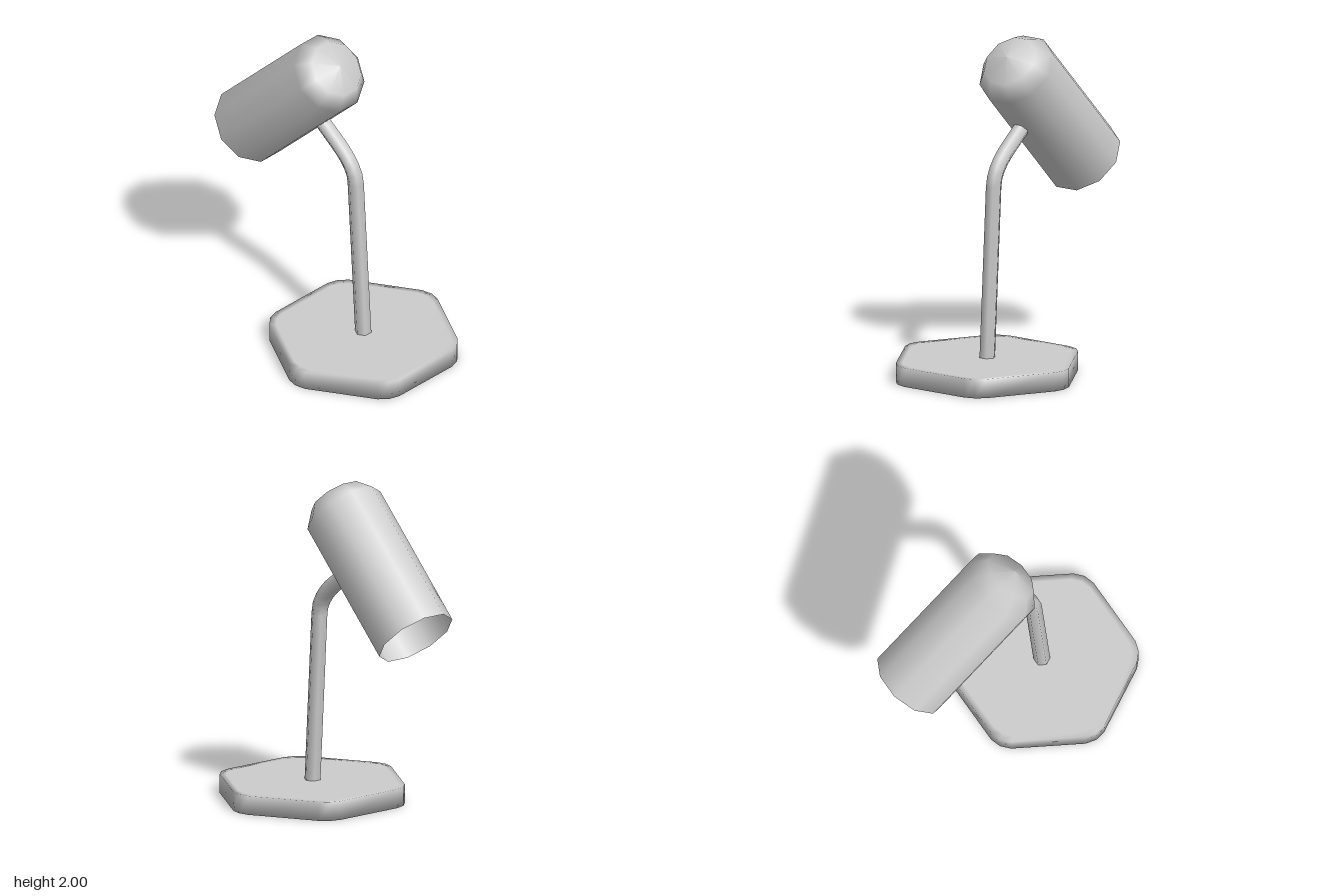
import * as THREE from 'three';

const material = new THREE.MeshStandardMaterial({ color: 0xcccccc, side: THREE.DoubleSide });

function addMesh(group, name, geometry) {
  const mesh = new THREE.Mesh(geometry, material);
  mesh.name = name;
  group.add(mesh);
  return mesh;
}

// Hexagon outline with three points per softened corner
function hexOutline() {
  const points = [];
  for (let i = 0; i < 6; i++) {
    for (const [offset, radius] of [[-6.8, 0.564], [0, 0.575], [6.8, 0.564]]) {
      const a = THREE.MathUtils.degToRad(30 + i * 60 + offset);
      points.push([Math.cos(a) * radius, Math.sin(a) * radius]);
    }
  }
  return points;
}

// Rings of the outline, closed by a centre point below and above
function baseGeometry() {
  const outline = hexOutline();
  const n = outline.length;
  const height = 0.115;
  const rings = [[1, 0], [1, height], [0.93, height]];
  const positions = [];
  const index = [];
  for (const [scale, y] of rings) {
    for (const [x, z] of outline) positions.push(x * scale, y, z * scale);
  }
  const bottom = n * rings.length;
  const top = bottom + 1;
  positions.push(0, 0, 0, 0, height, 0);
  for (let i = 0; i < n; i++) {
    const j = (i + 1) % n;
    for (let r = 0; r < rings.length - 1; r++) {
      const a = r * n + i, b = r * n + j;
      index.push(a, a + n, b, b, a + n, b + n);
    }
    const last = (rings.length - 1) * n;
    index.push(bottom, i, j, top, last + j, last + i);
  }
  const geometry = new THREE.BufferGeometry();
  geometry.setAttribute('position', new THREE.Float32BufferAttribute(positions, 3));
  geometry.setIndex(index);
  geometry.computeVertexNormals();
  return geometry;
}

export function createModel() {
  const group = new THREE.Group();
  group.name = 'deskLamp';

  // Softened hexagonal foot
  addMesh(group, 'base', baseGeometry()).position.x = 0.298;

  // Six-sided stem: leaning straight, bend, short arm into the shade
  const p = (x, y) => new THREE.Vector3(x, y, 0);
  const path = new THREE.CurvePath();
  path.add(new THREE.LineCurve3(p(0.299, 0.05), p(0.232, 1.15)));
  path.add(new THREE.QuadraticBezierCurve3(p(0.232, 1.15), p(0.225, 1.255), p(0.08, 1.36)));
  path.add(new THREE.LineCurve3(p(0.08, 1.36), p(-0.05, 1.455)));
  addMesh(group, 'stem', new THREE.TubeGeometry(path, 28, 0.05, 6, false));

  // Ten-sided open shade with a domed back, tilted 45 degrees
  const profile = [[0.245, 0], [0.245, 0.93], [0.171, 1.022], [0, 1.067]]
    .map(([r, y]) => new THREE.Vector2(r, y));
  const shade = addMesh(group, 'shade', new THREE.LatheGeometry(profile, 10));
  shade.position.set(-0.65, 1.16, 0);
  shade.rotation.z = -Math.PI / 4;

  return group;
}
